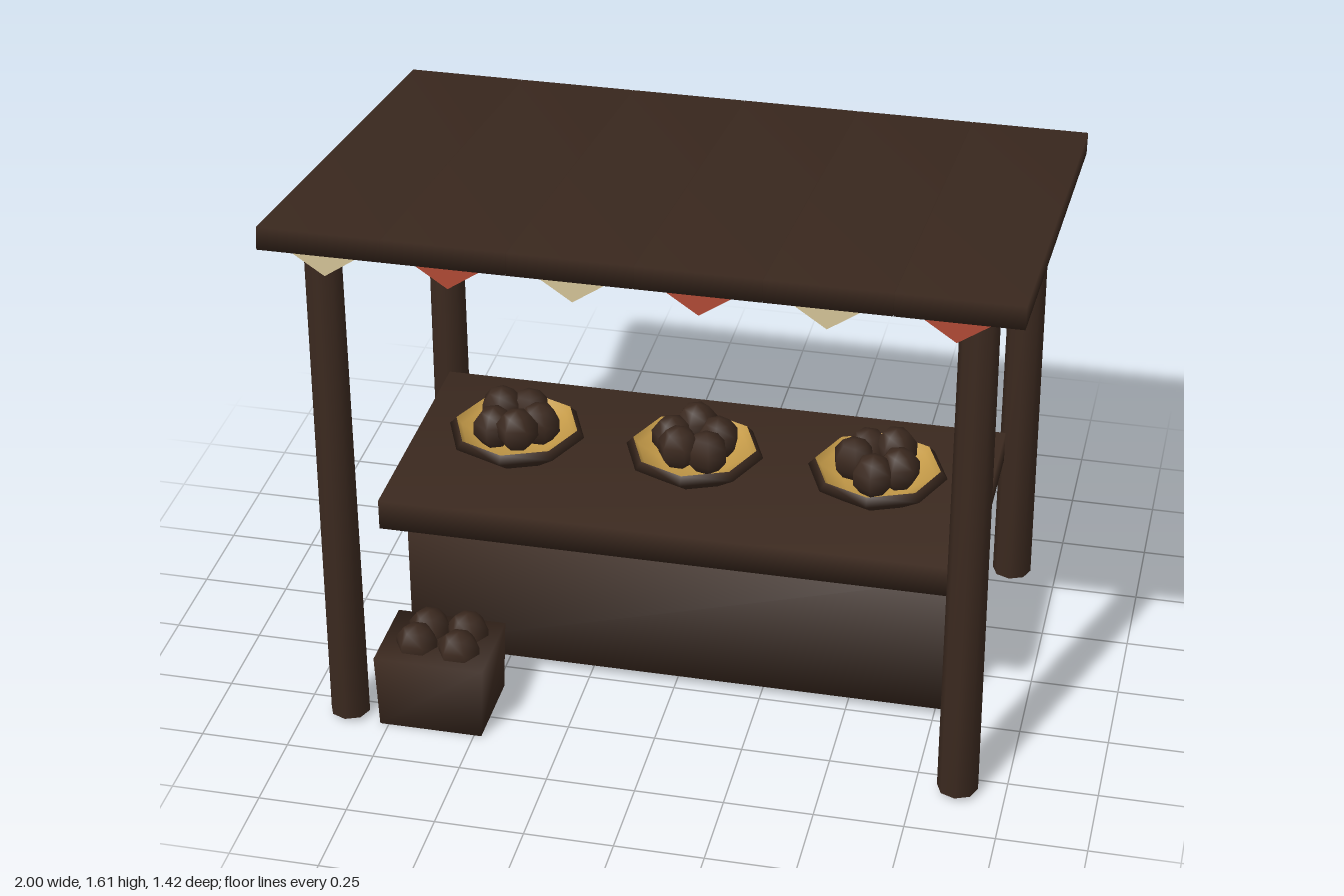
import * as THREE from 'three';
import { mergeVertices } from 'three/addons/utils/BufferGeometryUtils.js';

const mat = (color, side = THREE.FrontSide) => new THREE.MeshStandardMaterial({ color, side });
const wood = mat(0x3b291f);
const gold = mat(0xc49a48, THREE.DoubleSide);
const cream = mat(0xd4c398, THREE.DoubleSide);
const red = mat(0xb04a35, THREE.DoubleSide);
const splinter = mat(0x8a5a32, THREE.DoubleSide);

// Weld corners so that the shading runs softly over the edges
function soften(geometry) {
  geometry.deleteAttribute('normal');
  geometry.deleteAttribute('uv');
  const welded = mergeVertices(geometry, 1e-4);
  welded.computeVertexNormals();
  return welded;
}

function add(parent, name, geometry, material, x = 0, y = 0, z = 0) {
  const mesh = new THREE.Mesh(geometry, material);
  mesh.name = name;
  mesh.position.set(x, y, z);
  parent.add(mesh);
  return mesh;
}

const softBox = (w, h, d) => soften(new THREE.BoxGeometry(w, h, d));

function triangle(a, b, c) {
  const geometry = new THREE.BufferGeometry().setFromPoints([a, b, c].map(p => new THREE.Vector3(...p)));
  geometry.computeVertexNormals();
  return geometry;
}

export function createModel() {
  const stall = new THREE.Group();
  stall.name = 'marketStall';

  // Sloping roof of six planks, higher at the front
  const roof = new THREE.Group();
  roof.name = 'roof';
  roof.position.y = 1.484;
  roof.rotation.x = -0.139;
  stall.add(roof);
  const plank = softBox(1 / 3 - 0.002, 0.062, 1.425);
  for (let i = 0; i < 6; i++) add(roof, 'roofPlank', plank, wood, -5 / 6 + i / 3, 0, 0);

  // Four round posts, the front pair taller
  for (const [name, z, top] of [['frontPost', 0.56, 1.55], ['backPost', -0.553, 1.40]]) {
    const height = top - 0.015;
    const post = soften(new THREE.CylinderGeometry(0.052, 0.057, height, 8));
    for (const x of [-0.872, 0.868]) add(stall, name, post, wood, x, 0.015 + height / 2, z);
  }
  // Pale split in the back post
  add(stall, 'postSplit', triangle([0.922, 1.37, -0.545], [0.922, 1.37, -0.527], [0.925, 1.08, -0.535]), splinter);

  // Row of pennants under the front eave
  const pennant = triangle([-0.11, 0, 0], [0, -0.075, 0], [0.11, 0, 0]);
  for (let i = 0; i < 6; i++) add(stall, 'pennant', pennant, i % 2 ? red : cream, -0.83 + i * 0.331, 1.55, 0.675);

  // Counter
  add(stall, 'counterBody', softBox(1.565, 0.44, 0.645), wood, 0, 0.25, -0.09);
  add(stall, 'counterTop', softBox(1.68, 0.092, 0.745), wood, 0, 0.515, -0.06);

  // Bowls with golden insides, heaped with fruit
  const profile = points => new THREE.LatheGeometry(points.map(p => new THREE.Vector2(...p)), 8);
  const bowlOutside = profile([[0, 0], [0.12, 0], [0.2, 0.058], [0.18, 0.08]]);
  const bowlInside = profile([[0.18, 0.08], [0.165, 0.06], [0.1, 0.02], [0, 0.015]]);
  const fruit = soften(new THREE.SphereGeometry(0.063, 6, 5));
  [-0.53, -0.005, 0.525].forEach((x, b) => {
    const bowl = new THREE.Group();
    bowl.name = 'fruitBowl';
    bowl.position.set(x, 0.56, -0.053);
    stall.add(bowl);
    add(bowl, 'bowlOutside', bowlOutside, wood);
    add(bowl, 'bowlInside', bowlInside, gold);
    for (let i = 0; i < 5; i++) {
      const a = i * Math.PI * 0.4 + b * 0.8;
      const y = 0.09 + 0.015 * (i % 2);
      add(bowl, 'fruit', fruit, wood, 0.068 * Math.cos(a), y, 0.075 * Math.sin(a)).rotation.y = a;
    }
  });

  // Slightly tapered crate on the ground, filled with fruit
  const crate = new THREE.BoxGeometry(0.315, 0.22, 0.25);
  const corners = crate.attributes.position;
  for (let i = 0; i < corners.count; i++) {
    if (corners.getY(i) < 0) corners.setX(i, corners.getX(i) * 0.94);
  }
  add(stall, 'crate', soften(crate), wood, -0.627, 0.11, 0.47);
  for (const [x, z] of [[-0.685, 0.5], [-0.56, 0.51], [-0.67, 0.42], [-0.56, 0.415]]) {
    add(stall, 'crateFruit', fruit, wood, x, 0.222, z);
  }

  return stall;
}
